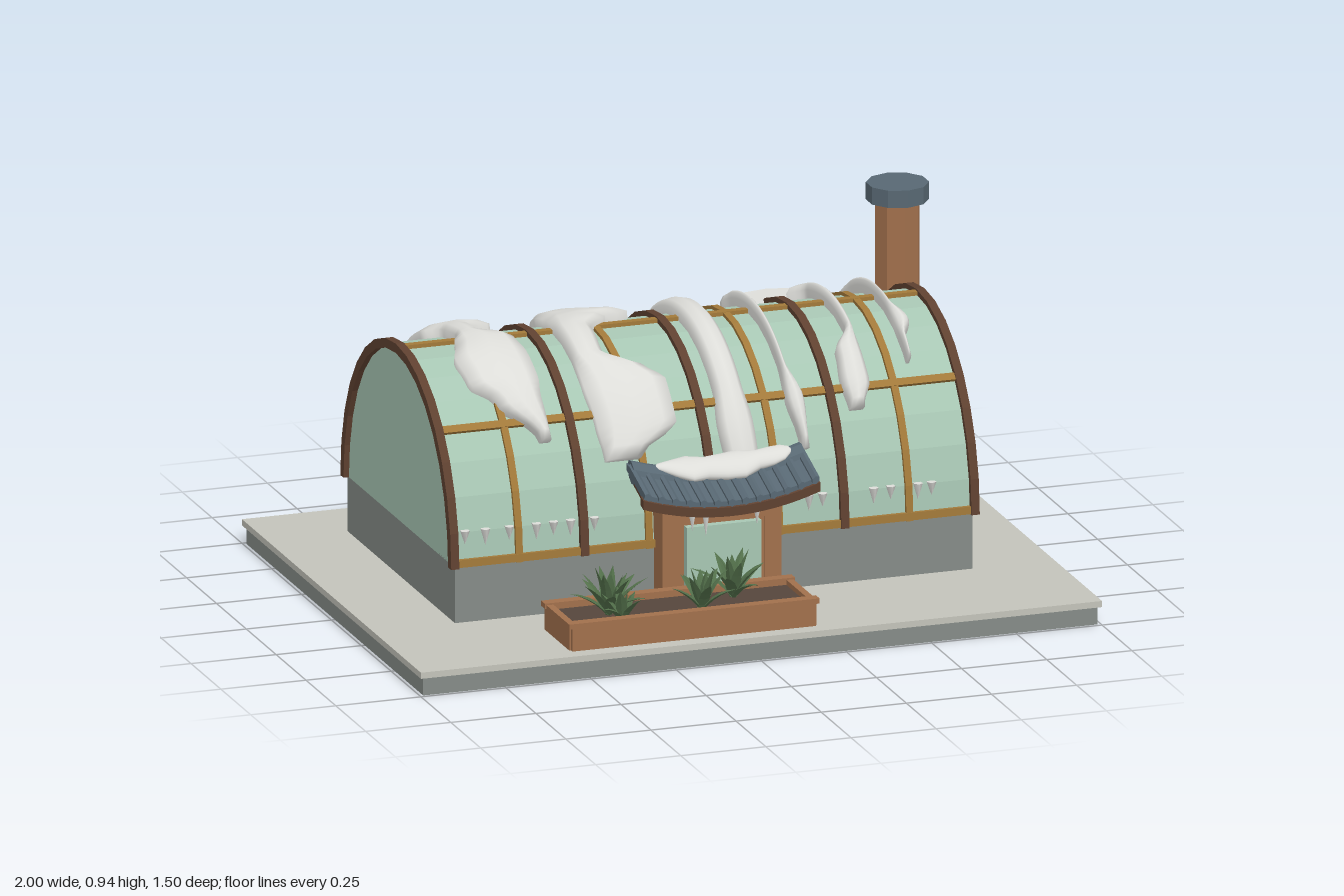
import * as THREE from 'three';

const mat = (name, color, opts = {}) => {
  const m = new THREE.MeshStandardMaterial({ color, ...opts });
  m.name = name;
  return m;
};

export function createModel() {
  const M = {
    concrete: mat('pale concrete', 0xc3c3ba),
    stone: mat('grey stone', 0x858b87),
    glass: mat('green glass', 0xa7c6b3),
    snow: mat('snow', 0xdcdcd8, { side: THREE.DoubleSide }),
    wood: mat('wood', 0xa1704c),
    darkWood: mat('dark wood', 0x5f4130),
    bamboo: mat('golden bamboo', 0xa2793a),
    tile: mat('slate tile', 0x586873, { flatShading: true }),
    leaf: mat('leaf green', 0x526f4a, { flatShading: true }),
    soil: mat('soil', 0x56463c),
  };
  const model = new THREE.Group();
  const group = (name) => {
    const g = new THREE.Group();
    g.name = name;
    model.add(g);
    return g;
  };
  const add = (name, geo, m, x = 0, y = 0, z = 0, parent = model) => {
    const mesh = new THREE.Mesh(geo, m);
    mesh.name = name;
    mesh.position.set(x, y, z);
    parent.add(mesh);
    return mesh;
  };
  // box given by its limits on each axis
  const box = (name, m, x0, x1, y0, y1, z0, z1, parent = model) =>
    add(name, new THREE.BoxGeometry(x1 - x0, y1 - y0, z1 - z0), m,
      (x0 + x1) / 2, (y0 + y1) / 2, (z0 + z1) / 2, parent);

  // base slab and foundation wall
  box('slabBody', M.stone, -0.99, 0.99, 0, 0.052, -0.74, 0.74);
  box('slabTop', M.concrete, -1, 1, 0.052, 0.07, -0.75, 0.75);
  box('foundation', M.stone, -0.76, 0.76, 0.07, 0.235, -0.55, 0.35);

  // barrel vault: half ellipse across z, swept along x
  const CZ = -0.1, CY = 0.23, A = 0.45, B = 0.505, N = 16;
  const archPoints = (off) => Array.from({ length: N + 1 }, (_, i) => {
    const t = (i / N) * Math.PI;
    return new THREE.Vector2((A + off) * Math.cos(t), (B + off) * Math.sin(t));
  });
  const sweep = (points, width) => {
    const g = new THREE.ExtrudeGeometry(new THREE.Shape(points), { depth: width, bevelEnabled: false });
    return g.translate(0, 0, -width / 2).rotateY(Math.PI / 2);
  };
  add('glassVault', sweep(archPoints(0), 1.52), M.glass, 0, CY, CZ);

  // ribs, alternating heavy and light
  const ribs = group('ribs');
  for (let i = 0; i < 9; i++) {
    const heavy = i % 2 === 0;
    const ring = [...archPoints(heavy ? 0.015 : 0.01), ...archPoints(-0.012).reverse()];
    add(heavy ? 'mainRib' : 'lightRib', sweep(ring, heavy ? 0.024 : 0.02),
      heavy ? M.darkWood : M.bamboo, (i - 4) * 0.191, CY, CZ, ribs);
  }
  // lengthwise purlins
  const purlins = group('purlins');
  [0.008, 0.25, 0.5, 0.75, 0.992].forEach((f) => {
    const t = f * Math.PI;
    const p = add('purlin', new THREE.BoxGeometry(1.53, 0.02, 0.022), M.bamboo,
      0, CY + B * Math.sin(t), CZ + A * Math.cos(t), purlins);
    p.rotation.x = Math.PI / 2 - t;
  });

  // snow patches: rows of [z, left x, right x] laid over the vault
  const snowPatch = (rows) => {
    const profile = [[0, -0.012], [0, 0.022], [0.18, 0.037], [0.5, 0.042], [0.82, 0.037], [1, 0.022], [1, -0.012]];
    const steps = 44, pos = [], idx = [], P = profile.length;
    const z0 = rows[0][0], z1 = rows[rows.length - 1][0];
    for (let i = -1; i <= steps + 1; i++) {
      const end = i < 0 || i > steps;
      const z = z0 + (z1 - z0) * Math.min(Math.max(i / steps, 0), 1);
      let k = 0;
      while (k < rows.length - 2 && z > rows[k + 1][0]) k++;
      const f = THREE.MathUtils.smoothstep(z, rows[k][0], rows[k + 1][0]);
      const l = THREE.MathUtils.lerp(rows[k][1], rows[k + 1][1], f);
      const r = THREE.MathUtils.lerp(rows[k][2], rows[k + 1][2], f);
      const t = Math.acos((z - CZ) / (A + 0.04));
      for (const [u, h] of profile) {
        const o = end ? -0.012 : h;
        pos.push(l + (r - l) * u, CY + (B + o) * Math.sin(t), CZ + (A + o) * Math.cos(t));
      }
    }
    for (let i = 0; i < steps + 2; i++) {
      for (let j = 0; j < P - 1; j++) {
        const a = i * P + j, b = a + P;
        idx.push(a, b, a + 1, b, b + 1, a + 1);
      }
    }
    const g = new THREE.BufferGeometry();
    g.setAttribute('position', new THREE.Float32BufferAttribute(pos, 3));
    g.setIndex(idx);
    g.computeVertexNormals();
    return g;
  };
  const snow = group('roofSnow');
  [
    [[-0.39, -0.65, -0.44], [-0.25, -0.65, -0.45], [-0.19, -0.61, -0.53], [-0.1, -0.6, -0.53],
      [-0.05, -0.62, -0.45], [0.05, -0.65, -0.44], [0.14, -0.64, -0.44], [0.2, -0.58, -0.45], [0.29, -0.48, -0.45]],
    [[-0.39, -0.29, -0.21], [-0.3, -0.31, -0.21], [-0.23, -0.32, -0.14], [-0.18, -0.32, -0.07], [-0.14, -0.32, -0.15],
      [-0.05, -0.32, -0.22], [0.08, -0.32, -0.23], [0.15, -0.32, -0.12], [0.18, -0.32, -0.08], [0.28, -0.31, -0.08], [0.33, -0.3, -0.2]],
    [[-0.39, 0.05, 0.13], [0.22, 0.05, 0.13], [0.3, 0.04, 0.14], [0.36, 0.05, 0.14]],
    [[-0.39, 0.27, 0.48], [-0.34, 0.26, 0.5], [-0.3, 0.26, 0.5]],
    [[-0.32, 0.25, 0.31], [-0.25, 0.255, 0.275], [0.18, 0.255, 0.27], [0.26, 0.25, 0.3], [0.34, 0.27, 0.29]],
    [[-0.32, 0.43, 0.5], [-0.24, 0.475, 0.5], [0.08, 0.48, 0.5], [0.16, 0.43, 0.5], [0.24, 0.42, 0.5], [0.29, 0.43, 0.47]],
    [[-0.39, 0.62, 0.66], [-0.3, 0.625, 0.64], [0, 0.625, 0.64], [0.08, 0.625, 0.67], [0.14, 0.625, 0.64], [0.2, 0.625, 0.635]],
  ].forEach((rows) => add('snowPatch', snowPatch(rows), M.snow, 0, 0, 0, snow));

  // icicles along both lower edges
  const icicles = group('icicles');
  const icicle = (x, y, z, r, h) =>
    add('icicle', new THREE.ConeGeometry(r, h, 6).rotateX(Math.PI), M.snow, x, y - h / 2, z, icicles);
  [-0.73, -0.67, -0.6, -0.52, -0.47, -0.42, -0.35, 0.28, 0.32, 0.47, 0.52, 0.6, 0.64].forEach((x, i) => {
    icicle(x, 0.335, 0.348, 0.014, 0.04 + 0.008 * (i % 2));
    icicle(-x, 0.335, -0.548, 0.014, 0.04 + 0.008 * (i % 2));
  });
  [-0.1, -0.06, 0.09].forEach((x, i) => icicle(x, 0.36, 0.455, 0.012, 0.06 + 0.02 * (i % 2)));

  // stove and chimney
  const chimney = group('chimney');
  box('stoveBase', M.stone, 0.71, 0.95, 0.07, 0.34, -0.59, -0.37, chimney);
  box('stoveDoor', M.bamboo, 0.76, 0.89, 0.105, 0.215, -0.372, -0.357, chimney);
  const stack = new THREE.CylinderGeometry(0.065, 0.065, 0.56, 8).toNonIndexed();
  stack.computeVertexNormals();
  add('chimneyStack', stack, M.wood, 0.83, 0.62, -0.48, chimney);
  add('chimneyCap', new THREE.CylinderGeometry(0.088, 0.088, 0.05, 10), M.tile, 0.83, 0.915, -0.48, chimney);

  // doorway
  const door = group('doorway');
  for (const s of [-1, 1]) box('doorPost', M.wood, s * 0.15 - 0.025, s * 0.15 + 0.025, 0.07, 0.36, 0.34, 0.42, door);
  box('doorLintel', M.wood, -0.175, 0.175, 0.31, 0.36, 0.34, 0.42, door);
  box('doorBoard', M.wood, -0.125, 0.125, 0.07, 0.31, 0.34, 0.415, door);
  box('doorPane', M.glass, -0.11, 0.11, 0.115, 0.305, 0.415, 0.438, door);

  // canopy with upswept ends; height follows x and z
  const canopy = group('canopy');
  const roofY = (x, z) => 0.425 - (z - 0.37) * 0.33 + 0.045 * (x / 0.26) ** 2;
  const bendRoof = (geo) => {
    const p = geo.attributes.position;
    for (let i = 0; i < p.count; i++) p.setY(i, p.getY(i) + roofY(p.getX(i), p.getZ(i)));
    geo.computeVertexNormals();
    return geo;
  };
  const roofSlab = (w, h, d, y, z) => bendRoof(new THREE.BoxGeometry(w, h, d, 16, 1, 2).translate(0, y, z));
  add('canopyTiles', roofSlab(0.51, 0.02, 0.15, -0.005, 0.42), M.tile, 0, 0, 0, canopy);
  add('canopyBoards', roofSlab(0.5, 0.018, 0.14, -0.022, 0.425), M.darkWood, 0, 0, 0, canopy);
  add('canopyEave', roofSlab(0.52, 0.026, 0.022, -0.022, 0.49), M.darkWood, 0, 0, 0, canopy);
  for (let i = 0; i < 13; i++) {
    const x = -0.246 + i * 0.041;
    const roll = new THREE.CylinderGeometry(0.0115, 0.0115, 0.14, 6).rotateX(Math.PI / 2).translate(x, 0.006, 0.435);
    add('tileRoll', bendRoof(roll), M.tile, 0, 0, 0, canopy);
  }
  const ridge = new THREE.CylinderGeometry(0.032, 0.032, 0.5, 8, 10).rotateZ(Math.PI / 2).translate(0, -0.005, 0.372);
  add('canopyRidge', bendRoof(ridge), M.tile, 0, 0, 0, canopy);
  // uneven snow on the ridge
  const ridgeSnow = new THREE.SphereGeometry(1, 24, 12).rotateZ(Math.PI / 2).scale(0.2, 0.026, 0.045);
  const rp = ridgeSnow.attributes.position;
  for (let i = 0; i < rp.count; i++) {
    const x = rp.getX(i);
    rp.setXYZ(i, x + 0.02, rp.getY(i) + 0.025, rp.getZ(i) * (1 + 0.25 * Math.sin(x * 45)) + 0.372);
  }
  add('ridgeSnow', bendRoof(ridgeSnow), M.snow, 0, 0, 0, canopy);

  // planter box
  const planter = group('planter');
  for (const [z0, z1] of [[0.49, 0.515], [0.695, 0.72]]) {
    box('planterSide', M.wood, -0.545, 0.17, 0.075, 0.145, z0, z1, planter);
    box('planterRim', M.wood, -0.555, 0.18, 0.14, 0.155, z0 - 0.003, z1 + 0.003, planter);
  }
  for (const [x0, x1] of [[-0.55, -0.53], [0.155, 0.175]]) {
    box('planterEnd', M.wood, x0, x1, 0.075, 0.15, 0.5, 0.71, planter);
  }
  box('planterSoil', M.soil, -0.54, 0.165, 0.072, 0.135, 0.505, 0.705, planter);

  // arching leaf blade, widest below the middle
  const blade = (len, lean) => {
    const g = new THREE.CylinderGeometry(1, 1, 1, 4, 5);
    const p = g.attributes.position;
    for (let i = 0; i < p.count; i++) {
      const t = p.getY(i) + 0.5;
      const w = 0.022 * (0.3 + 2.2 * t) * (1 - t) + 0.0005;
      const a = lean * (0.6 + 0.5 * t);
      const d = p.getZ(i) * w * 0.3;
      p.setXYZ(i, p.getX(i) * w, len * t * Math.cos(a) - d * Math.sin(a), len * t * Math.sin(a) + d * Math.cos(a));
    }
    g.computeVertexNormals();
    return g;
  };
  const plants = group('plants');
  [[-0.4, 0.61, 1, 17], [-0.38, 0.67, 0.7, 8], [-0.14, 0.65, 0.9, 12], [-0.02, 0.57, 0.95, 13]].forEach(([x, z, s, n], k) => {
    const plant = new THREE.Group();
    plant.name = 'plant';
    plant.position.set(x, 0.13, z);
    plants.add(plant);
    for (let i = 0; i < n; i++) {
      const leaf = add('leaf', blade(s * (0.13 + 0.012 * (i % 3)), 0.15 + 0.85 * (i / n)), M.leaf, 0, 0, 0, plant);
      leaf.rotation.y = i * 2.4 + k;
    }
  });
  return model;
}
